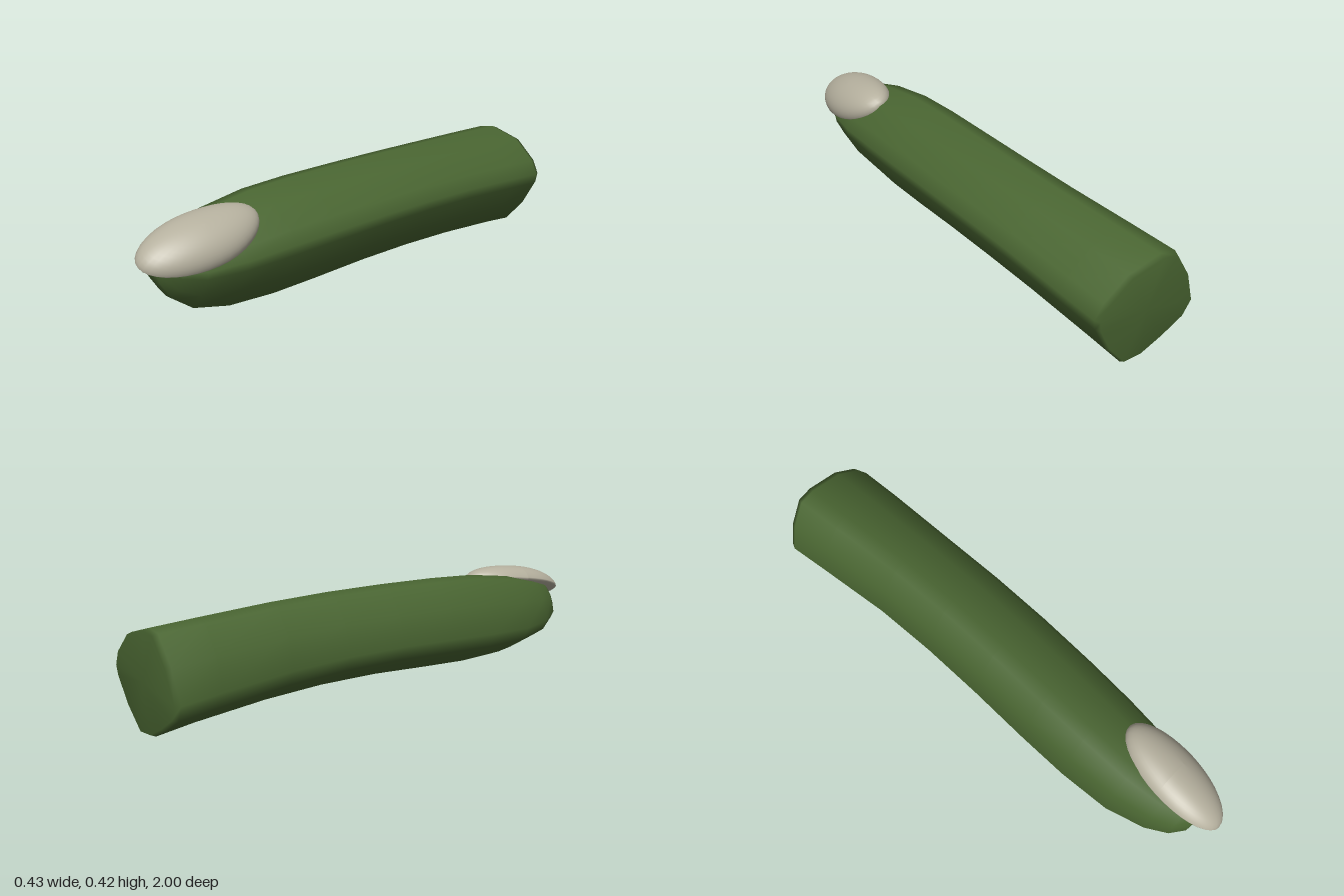
import * as THREE from 'three';

// Rounded, twisted square section in unit extents, counter-clockwise seen from +z
const SECTION = [
  [-1, -0.2], [-0.85, -0.5], [-0.42, -0.77], [0, -0.98], [0.36, -1], [0.72, -0.56], [0.97, -0.06],
  [1, 0.14], [0.86, 0.42], [0.42, 0.82], [-0.2, 1], [-0.5, 0.95], [-0.82, 0.42],
];

// Stations along the finger: z, left x, right x, bottom y, top y
const STATIONS = [
  [-0.985, -0.205, 0.192, 0.012, 0.383],
  [-0.965, -0.215, 0.2, 0.003, 0.39],
  [-0.8, -0.2, 0.205, 0.022, 0.4],
  [-0.5, -0.173, 0.208, 0.05, 0.415],
  [-0.25, -0.166, 0.213, 0.064, 0.423],
  [0, -0.168, 0.212, 0.067, 0.426],
  [0.25, -0.174, 0.205, 0.06, 0.425],
  [0.45, -0.174, 0.195, 0.056, 0.418],
  [0.65, -0.16, 0.178, 0.066, 0.393],
  [0.8, -0.12, 0.15, 0.1, 0.36],
  [0.88, -0.08, 0.12, 0.155, 0.335],
  [0.92, -0.035, 0.09, 0.215, 0.31],
];

function loft(stations, section) {
  const pos = [], idx = [], n = section.length;
  stations.forEach(([z, x0, x1, y0, y1]) => {
    for (const [u, v] of section) {
      // the cut end leans back slightly at the top
      const lean = z < -0.9 ? -0.015 * v : 0;
      pos.push((x0 + x1) / 2 + u * (x1 - x0) / 2, (y0 + y1) / 2 + v * (y1 - y0) / 2, z + lean);
    }
  });
  for (let i = 0; i < stations.length - 1; i++) {
    for (let j = 0; j < n; j++) {
      const k = (j + 1) % n, a = i * n, b = a + n;
      idx.push(a + j, a + k, b + j, a + k, b + k, b + j);
    }
  }
  // End caps as fans
  const last = (stations.length - 1) * n, back = pos.length / 3, tip = back + 1;
  pos.push(0, 0.2, -0.988, 0.03, 0.265, 0.928);
  for (let j = 0; j < n; j++) {
    const k = (j + 1) % n;
    idx.push(back, k, j, tip, last + j, last + k);
  }
  const geo = new THREE.BufferGeometry();
  geo.setAttribute('position', new THREE.Float32BufferAttribute(pos, 3));
  geo.setIndex(idx);
  geo.computeVertexNormals();
  return geo;
}

// Domed plate, shallow below and rounded above, leaning over the finger's upper corner
function nailGeometry() {
  const geo = new THREE.SphereGeometry(1, 36, 24);
  const p = geo.attributes.position;
  for (let i = 0; i < p.count; i++) {
    const w = p.getX(i) * 0.118;
    const h = p.getY(i) * (p.getY(i) > 0 ? 0.088 : 0.022);
    const t = p.getZ(i);
    const rise = -0.03 * t + (t < 0 ? 0.02 * t * t : 0);
    p.setXYZ(i, 0.062 - 0.018 * t + 0.88 * w + 0.47 * h, 0.322 + rise - 0.47 * w + 0.88 * h, 0.765 + 0.235 * t);
  }
  geo.computeVertexNormals();
  return geo;
}

export function createModel() {
  const group = new THREE.Group();
  group.name = 'finger';
  const add = (name, geo, color) => {
    const mesh = new THREE.Mesh(geo, new THREE.MeshStandardMaterial({ color }));
    mesh.name = name;
    group.add(mesh);
  };
  add('fingerFlesh', loft(STATIONS, SECTION), 0x4a6632);
  add('fingernail', nailGeometry(), 0xb5b09e);
  return group;
}
